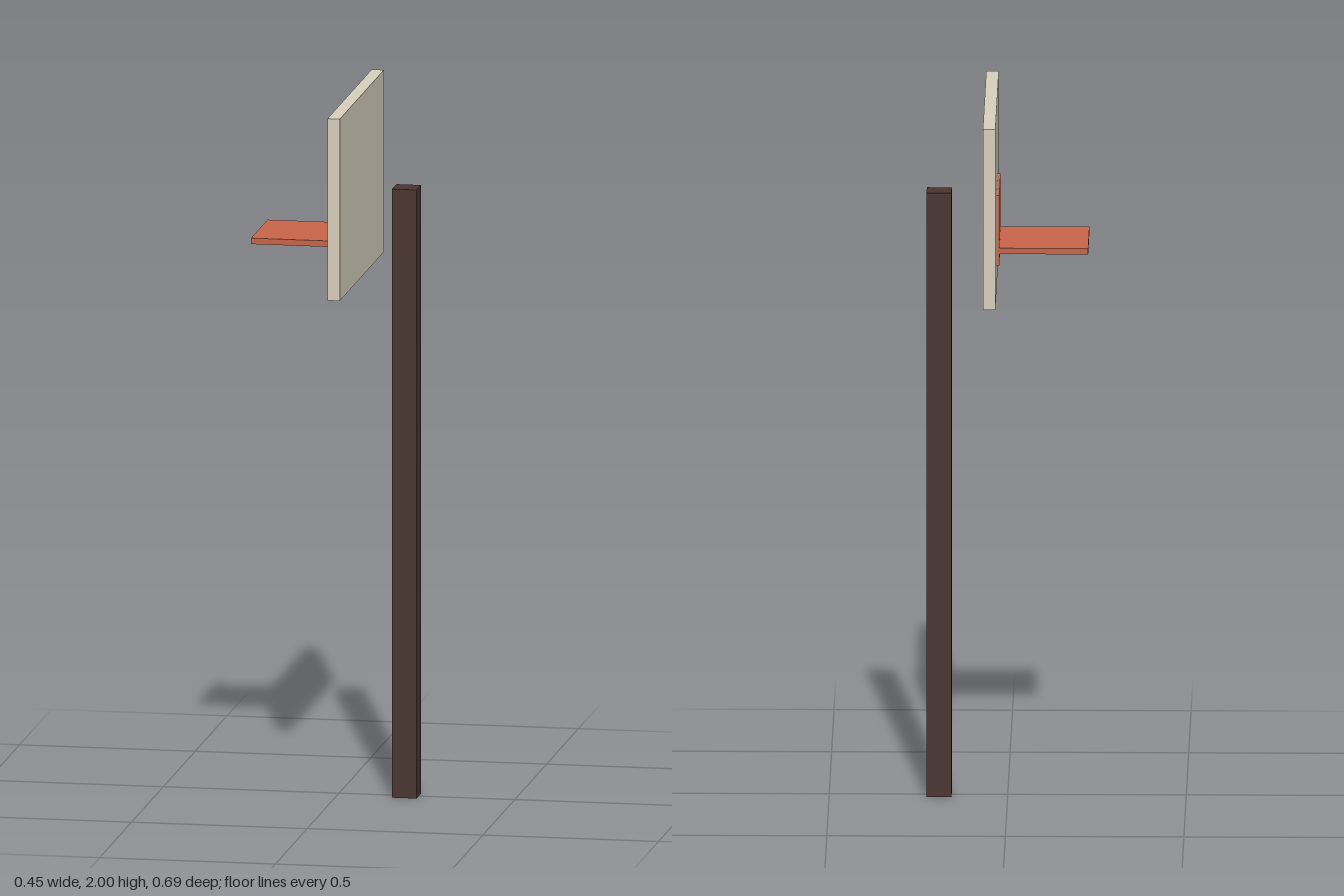
import * as THREE from 'three';

// Box given by its min and max extents; every part is symmetric in z
function addSlab(group, name, color, [x0, x1], [y0, y1], depth) {
  const mesh = new THREE.Mesh(
    new THREE.BoxGeometry(x1 - x0, y1 - y0, depth),
    new THREE.MeshStandardMaterial({ color })
  );
  mesh.name = name;
  mesh.position.set((x0 + x1) / 2, (y0 + y1) / 2, 0);
  group.add(mesh);
}

export function createModel() {
  const group = new THREE.Group();
  group.name = 'basketballHoop';

  // Square post standing behind the board
  addSlab(group, 'post', 0x4a3630, [0.157, 0.227], [0, 1.74], 0.07);

  // Upright board
  addSlab(group, 'backboard', 0xd8d0be, [0.03, 0.065], [1.48, 2], 0.694);

  // Thin plate on the board's face, with the flat rim projecting from it
  addSlab(group, 'mountingPlate', 0xc8654a, [0.022, 0.03], [1.555, 1.757], 0.26);
  addSlab(group, 'rim', 0xc8654a, [-0.227, 0.03], [1.588, 1.605], 0.26);

  return group;
}
